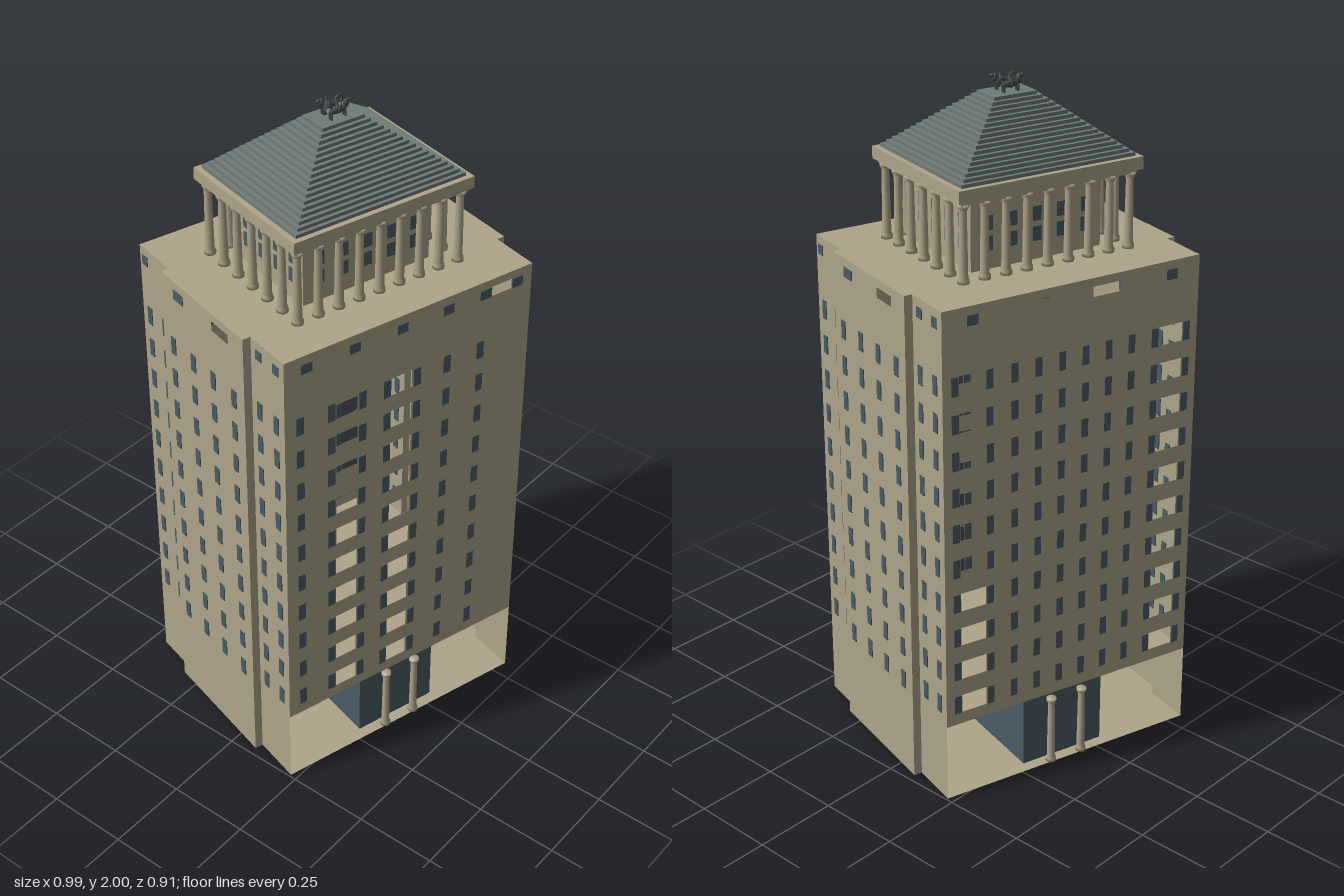
import * as THREE from 'three';
import { mergeGeometries } from 'three/addons/utils/BufferGeometryUtils.js';

const mat = (name, color, side = THREE.FrontSide) =>
  Object.assign(new THREE.MeshStandardMaterial({ color, side }), { name });

export function createModel() {
  const stone = mat('stone', 0xaea589, THREE.DoubleSide);
  const glass = mat('glass', 0x485c66);
  const roofing = mat('roofing', 0x707b77);
  const bronze = mat('bronze', 0x464d4b);

  const model = new THREE.Group();
  model.name = 'tower';
  const tower = new THREE.Group();
  tower.name = 'turnedTower';
  tower.rotation.y = -0.275;
  model.add(tower);

  const add = (parent, name, geo, material, x = 0, y = 0, z = 0) => {
    const m = new THREE.Mesh(geo, material);
    m.name = name;
    m.position.set(x, y, z);
    parent.add(m);
    return m;
  };
  const box = (w, h, d, x = 0, y = 0, z = 0) => new THREE.BoxGeometry(w, h, d).translate(x, y, z);

  const HX = 0.413, HZ = 0.354, BX = 0.438, BZ = 0.202; // half sizes of body and side bays
  const BASE = 0.24, TOP = 1.505, ROWS = 10;
  const rowY = (i) => 0.305 + i * 0.109;

  // Thin wall with open holes [u, y, w, h] and filled windows [u, y, w, h]
  function wall(name, x, z, angle, width, y0, holes, windows) {
    const g = new THREE.Group();
    g.name = name;
    g.position.set(x, 0, z);
    g.rotation.y = angle;
    const rect = (P, u, y, w, h) => {
      const p = new P();
      p.moveTo(u - w / 2, y - h / 2);
      p.lineTo(u + w / 2, y - h / 2);
      p.lineTo(u + w / 2, y + h / 2);
      p.lineTo(u - w / 2, y + h / 2);
      p.closePath();
      return p;
    };
    const shape = rect(THREE.Shape, 0, (y0 + TOP) / 2, width, TOP - y0);
    holes.forEach((h) => shape.holes.push(rect(THREE.Path, ...h)));
    add(g, name + 'Surface', new THREE.ShapeGeometry(shape), stone);
    if (windows.length) {
      const panes = windows.map(([u, y, w, h]) => box(w, h, 0.005, u, y, 0));
      add(g, name + 'Windows', mergeGeometries(panes), glass);
    }
    tower.add(g);
  }
  // Repeat columns of openings on every storey
  const storeys = (us, w, h) => {
    const out = [];
    for (let i = 0; i < ROWS; i++) us.forEach((u) => out.push([u, rowY(i), w, h]));
    return out;
  };
  const attic = (us, w) => us.map((u) => [u, 1.465, w, 0.03]);

  // Front and back walls with open balconies
  wall('frontWall', 0, HZ, 0, 2 * HX, BASE,
    [...storeys([-0.212, -0.03], 0.07, 0.056), ...attic([0.306], 0.075)],
    [...storeys([-0.365, -0.264, -0.161, -0.079, 0.022, 0.124, 0.24, 0.35], 0.024, 0.056).filter(
      ([u]) => u !== 0.35),
    ...attic([-0.343, -0.187, -0.031, 0.124, 0.25, 0.362], 0.036)]);
  wall('backWall', 0, -HZ, Math.PI, 2 * HX, BASE,
    [...storeys([-0.322, 0.322], 0.08, 0.056), ...attic([-0.105, 0.105], 0.09)],
    [...storeys([-0.376, -0.268, -0.19, -0.114, -0.038, 0.038, 0.114, 0.19, 0.268, 0.376], 0.022, 0.056),
      ...attic([-0.32, 0.32], 0.036)]);

  // Side walls, each with a shallow projecting bay
  for (const s of [1, -1]) {
    const n = s > 0 ? 'left' : 'right';
    const a = s * Math.PI / 2;
    wall(n + 'Bay', s * BX, 0, a, 2 * BZ, 0, attic([0.09], 0.08),
      [...storeys([-0.152, -0.05, 0.05, 0.152], 0.023, 0.056), ...attic([-0.115], 0.046)]);
    for (const e of [1, -1]) {
      wall(n + 'SideWall', s * HX, -s * e * (HZ + BZ) / 2, a, HZ - BZ, 0, [],
        [...storeys([-0.039, 0.039], 0.022, 0.056),
          ...attic(e > 0 ? [-0.039, 0.039] : [-0.05], 0.026)]);
      wall(n + 'BayReturn', s * (HX + BX) / 2, e * BZ, e > 0 ? 0 : Math.PI, BX - HX, 0, [], []);
    }
  }

  // Floor, passage ceiling and flat roof share one outline
  const plan = new THREE.Shape([
    [HX, -HZ], [HX, -BZ], [BX, -BZ], [BX, BZ], [HX, BZ], [HX, HZ],
    [-HX, HZ], [-HX, BZ], [-BX, BZ], [-BX, -BZ], [-HX, -BZ], [-HX, -HZ],
  ].map(([x, y]) => new THREE.Vector2(x, y)));
  const slab = new THREE.ShapeGeometry(plan).rotateX(-Math.PI / 2);
  [['floor', 0], ['passageCeiling', BASE], ['terrace', TOP]].forEach(([n, y]) =>
    add(tower, n, slab, stone, 0, y, 0));

  // Round column standing on y = 0
  const column = (h, r) => new THREE.LatheGeometry([
    [0, 0], [r * 1.35, 0], [r * 1.35, h * 0.05], [r * 1.05, h * 0.08],
    [r * 0.85, h * 0.91], [r * 1.3, h * 0.96], [r * 1.3, h], [0, h],
  ].map(([x, y]) => new THREE.Vector2(x, y)), 12);

  // Glazed lobby and its entrance columns
  add(tower, 'lobby', box(0.27, 0.214, 0.64, 0, 0.108, 0), glass);
  const porch = column(0.216, 0.0115);
  for (const s of [1, -1]) for (const x of [-0.055, 0.05])
    add(tower, 'entranceColumn', porch, stone, s * x, 0.001, s * 0.345);

  // Colonnaded pavilion on the terrace
  const pavilion = new THREE.Group();
  pavilion.name = 'pavilion';
  pavilion.position.set(-0.01, TOP, 0.009);
  tower.add(pavilion);
  add(pavilion, 'pavilionCore', box(0.42, 0.225, 0.31, 0, 0.1125, 0), stone);
  const panes = [];
  for (const y of [0.075, 0.133]) {
    for (const s of [1, -1]) {
      for (let i = -2; i <= 2; i++) panes.push(box(0.028, 0.042, 0.005, i * 0.078, y, s * 0.156));
      for (let i = -1.5; i <= 1.5; i++) panes.push(box(0.005, 0.042, 0.028, s * 0.211, y, i * 0.072));
    }
  }
  add(pavilion, 'pavilionWindows', mergeGeometries(panes), glass);
  const shaft = column(0.222, 0.0125);
  const CX = 0.267, CZ = 0.212, NX = 8, NZ = 6;
  for (let i = 0; i <= NX; i++) for (let j = 0; j <= NZ; j++) {
    if (i % NX && j % NZ) continue;
    add(pavilion, 'pavilionColumn', shaft, stone, -CX + 2 * CX * i / NX, 0, -CZ + 2 * CZ * j / NZ);
  }
  add(pavilion, 'architrave', box(0.562, 0.014, 0.452, 0, 0.226, 0), stone);
  add(pavilion, 'cornice', box(0.586, 0.036, 0.476, 0, 0.249, 0), stone);

  // Stepped pyramid roof
  const STEPS = 17, h = 0.172 / STEPS, steps = [];
  for (let i = 0; i < STEPS; i++) {
    const t = i / (STEPS - 1);
    steps.push(box(2 * THREE.MathUtils.lerp(0.276, 0.068, t), h,
      2 * THREE.MathUtils.lerp(0.222, 0.046, t), 0, 0.267 + (i + 0.5) * h, 0));
  }
  add(pavilion, 'steppedRoof', mergeGeometries(steps), roofing);

  // Pair of crouching winged beasts at the summit
  const ball = (x, y, z, a, b, c) => new THREE.SphereGeometry(1, 10, 7).scale(a, b, c).translate(x, y, z);
  const parts = [
    ball(0, 0.022, 0, 0.03, 0.01, 0.008),
    ball(0.027, 0.035, 0, 0.009, 0.013, 0.007),
    ball(0.036, 0.042, 0, 0.009, 0.006, 0.005),
    new THREE.ConeGeometry(0.004, 0.018, 6).translate(0.025, 0.047, 0),
    new THREE.TorusGeometry(0.011, 0.0035, 6, 12, 4.2).translate(-0.03, 0.03, 0),
  ];
  for (const x of [-0.022, 0.022]) for (const z of [-0.005, 0.005])
    parts.push(new THREE.CylinderGeometry(0.003, 0.003, 0.02, 6).translate(x, 0.01, z));
  for (const s of [1, -1])
    parts.push(new THREE.ConeGeometry(0.007, 0.03, 6).rotateX(s * 0.3).translate(0.004, 0.036, s * 0.009));
  const beast = mergeGeometries(parts);
  for (const s of [1, -1]) {
    const b = add(pavilion, 'roofBeast', beast, bronze, 0, 0.439, s * 0.018);
    b.rotation.y = s > 0 ? 0 : Math.PI;
  }
  return model;
}
